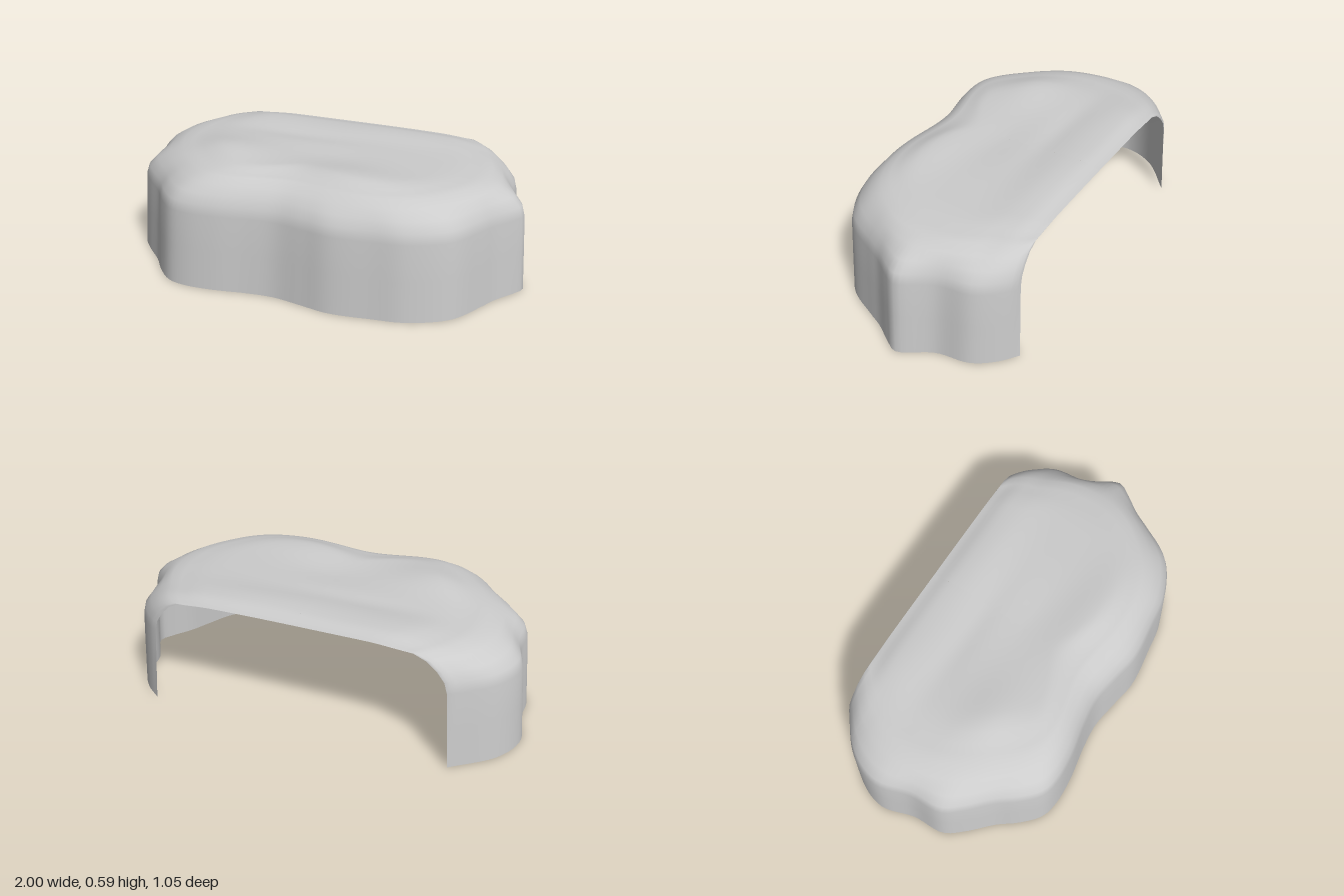
import * as THREE from 'three';

// Outline of the skirt (x, z), from the back right corner round the front to the back left corner
const OUTLINE = [
  [-0.75, -0.527], [-0.94, -0.36], [-1, -0.2], [-0.955, -0.03], [-0.945, 0.13], [-0.88, 0.22],
  [-0.77, 0.33], [-0.7, 0.42], [-0.61, 0.5], [-0.52, 0.522], [-0.38, 0.517], [-0.2, 0.487],
  [-0.07, 0.477], [0.08, 0.5], [0.22, 0.522], [0.42, 0.5], [0.58, 0.472], [0.76, 0.37], [0.86, 0.2],
  [0.9, 0.12], [0.97, 0.02], [1, -0.04], [0.915, -0.2], [0.89, -0.36], [0.82, -0.46], [0.735, -0.527],
];

// Wall and shoulder profile: inset from the outline, height
const WALL = [[0, 0.003], [0.01, 0.2], [0.02, 0.38], [0.032, 0.43], [0.06, 0.475], [0.1, 0.517], [0.15, 0.541]];
const TOP_ROWS = 14;
const STEPS = 130;
const SMOOTH_SPAN = 8;

// Soft bumps and hollows of the top: x, z, radius in x, radius in z, height
const BUMPS = [
  [-0.48, 0.13, 0.22, 0.17, 0.029], [0.22, 0.24, 0.28, 0.12, 0.016], [0.2, -0.36, 0.4, 0.11, 0.014],
  [-0.2, -0.2, 0.3, 0.06, -0.007], [0.05, 0.02, 0.2, 0.12, -0.008], [-0.45, -0.37, 0.25, 0.11, 0.01],
];

function topHeight(x, z) {
  let y = 0.568 - 0.03 * Math.pow(Math.abs(x), 3) - 0.014 * THREE.MathUtils.smoothstep(-z, 0.42, 0.51);
  for (const [bx, bz, rx, rz, h] of BUMPS) {
    y += h * Math.exp(-(((x - bx) / rx) ** 2) - ((z - bz) / rz) ** 2);
  }
  return y;
}

// Softened copy of the outline, which the shoulder eases into
function soften(points) {
  return points.map((p, i) => {
    const span = Math.min(SMOOTH_SPAN, i, points.length - 1 - i);
    const sum = new THREE.Vector3();
    for (let k = -span; k <= span; k++) sum.add(points[i + k]);
    return sum.divideScalar(2 * span + 1);
  });
}

function shellGeometry() {
  const curve = new THREE.CatmullRomCurve3(
    OUTLINE.map(([x, z]) => new THREE.Vector3(x, 0, z)), false, 'centripetal');
  const rim = curve.getSpacedPoints(STEPS);
  const soft = soften(rim);
  const positions = [];
  const index = [];
  const rows = WALL.length + TOP_ROWS;
  const [lastInset, lastY] = WALL[WALL.length - 1];

  for (let j = 0; j < rows; j++) {
    const onWall = j < WALL.length;
    const k = Math.max(0, j - WALL.length + 1) / TOP_ROWS;
    for (let i = 0; i <= STEPS; i++) {
      // Each strip runs up the wall, over the shoulder and in to the middle line
      const depth = onWall ? WALL[j][0] : lastInset;
      const q = rim[i].clone().lerp(soft[i], THREE.MathUtils.smoothstep(depth, 0.02, 0.13));
      const target = new THREE.Vector3(0, 0, THREE.MathUtils.clamp(q.z, -0.51, 0));
      const length = q.distanceTo(target);
      // The shoulder is broader on the right side
      const side = 1 + 0.3 * THREE.MathUtils.smoothstep(-q.x, 0.5, 0.85);
      const inset = THREE.MathUtils.lerp(depth * side, length, k);
      q.lerp(target, inset / length);
      const blend = THREE.MathUtils.smoothstep(inset / side, lastInset - 0.05, lastInset + 0.17);
      const wallY = onWall ? WALL[j][1] : lastY;
      q.y = THREE.MathUtils.lerp(wallY, topHeight(q.x, q.z), blend);
      // The open back leans slightly forward
      q.z = Math.max(q.z, -0.527 + 0.03 * q.y);
      positions.push(q.x, q.y, q.z);
    }
  }
  const w = STEPS + 1;
  for (let j = 0; j < rows - 1; j++) {
    for (let i = 0; i < STEPS; i++) {
      const a = j * w + i;
      index.push(a, a + 1, a + w + 1, a, a + w + 1, a + w);
    }
  }
  const geometry = new THREE.BufferGeometry();
  geometry.setAttribute('position', new THREE.Float32BufferAttribute(positions, 3));
  geometry.setIndex(index);
  geometry.computeVertexNormals();
  return geometry;
}

export function createModel() {
  const group = new THREE.Group();
  group.name = 'cover';
  // Thin shell, open at the back and underneath
  const shell = new THREE.Mesh(
    shellGeometry(),
    new THREE.MeshStandardMaterial({ color: 0xcccccc, side: THREE.DoubleSide }));
  shell.name = 'shell';
  group.add(shell);
  return group;
}
